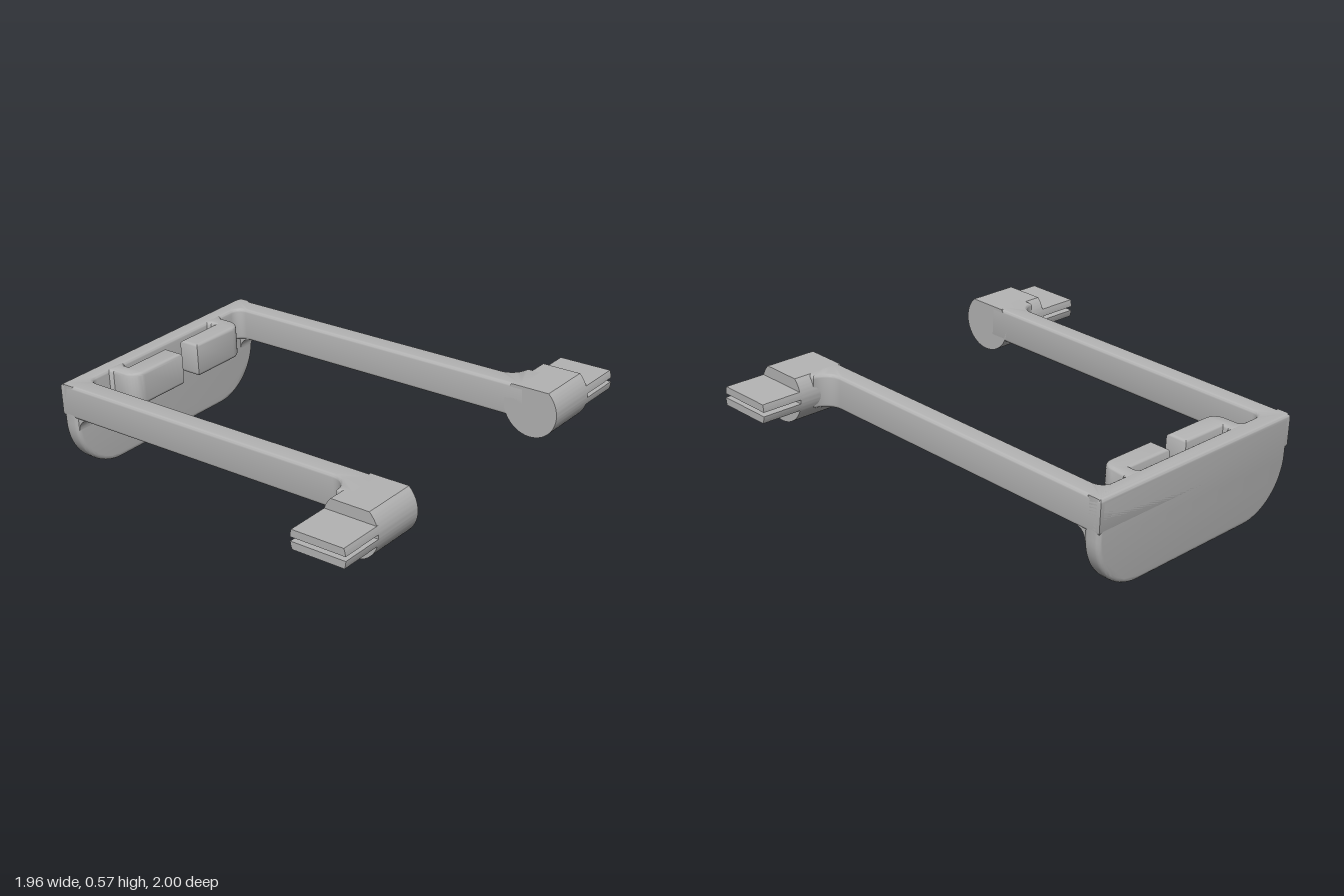
import * as THREE from 'three';
import { toCreasedNormals } from 'three/addons/utils/BufferGeometryUtils.js';

const TILT = 0.0535;   // slope of the arms
const H = 0.165;       // arm height
const HALF = 0.625;    // half width across the arms
const INNER = 0.525;   // inner face of each arm

// Points along an arc, angles in degrees
function arc(cx, cy, r, from, to, n = 8) {
  return Array.from({ length: n + 1 }, (_, i) => {
    const a = THREE.MathUtils.degToRad(from + (to - from) * i / n);
    return [cx + r * Math.cos(a), cy + r * Math.sin(a)];
  });
}

const shapeOf = (pts) => new THREE.Shape(pts.map(([x, y]) => new THREE.Vector2(x, y)));

// Extrusion from z = 0 to z = depth with rounded rims inside the outline
function extrude(shape, depth, bevel = 0) {
  const geo = new THREE.ExtrudeGeometry(shape, {
    depth: depth - 2 * bevel, curveSegments: 24, bevelEnabled: bevel > 0,
    bevelThickness: bevel, bevelSize: bevel, bevelOffset: -bevel, bevelSegments: 4,
  });
  return geo.translate(0, 0, bevel);
}

// Plan outline (x, z) extruded downwards from y = 0
const slab = (pts, height, bevel) =>
  extrude(shapeOf(pts.map(([x, z]) => [x, -z])), height, bevel)
    .rotateX(-Math.PI / 2).translate(0, -height, 0);

// Disc section between two heights
function discSlice(r, low, high) {
  const a = Math.asin(low / r), b = Math.asin(high / r);
  const s = new THREE.Shape();
  s.absarc(0, 0, r, a, b, false);
  s.absarc(0, 0, r, Math.PI - b, Math.PI - a, false);
  return s;
}

export function createModel() {
  const grey = new THREE.MeshStandardMaterial({ color: 0xb4b4b4 });
  grey.name = 'light grey';
  const model = new THREE.Group();
  model.name = 'bracket';
  const body = new THREE.Group();
  body.name = 'tiltedBody';
  body.position.set(-0.985, 0.47, 0);
  body.rotation.z = TILT;
  model.add(body);

  const add = (name, geo, x = 0, y = 0, z = 0) => {
    const mesh = new THREE.Mesh(toCreasedNormals(geo, 0.6), grey);
    mesh.name = name;
    mesh.position.set(x, y, z);
    body.add(mesh);
  };

  // U-shaped frame: both arms and the crossbar, flaring into the hubs
  const half = [
    [0, HALF],
    ...arc(1.605, 0.71, 0.085, -90, 0),
    [1.78, 0.71], [1.78, INNER],
    ...arc(0.135, INNER - 0.05, 0.05, 90, 180),
  ];
  const mirrored = half.map(([x, z]) => [x, -z]).reverse();
  add('armFrame', slab([...half, ...mirrored], H, 0.016));

  // Hanging end plate with round lower corners
  const plate = [
    [HALF, 0],
    ...arc(HALF - 0.27, -0.198, 0.27, 0, -90, 16),
    ...arc(-HALF + 0.27, -0.198, 0.27, -90, -180, 16),
    [-HALF, 0],
  ];
  add('endPlate', extrude(shapeOf(plate), 0.085, 0.022).rotateY(Math.PI / 2));

  const hubX = 1.822, hubY = -0.1006, r = 0.14;
  const fillet = [[0.07, -0.15], [0.145, -0.15], ...arc(0.145, -0.225, 0.06, 90, 180), [0.07, -0.225]];

  for (const s of [1, -1]) {
    const side = s > 0 ? 'left' : 'right';
    // Place an extrusion spanning z0..z1 on this side
    const across = (name, shape, z0, z1, x = 0, y = 0, bevel = 0) =>
      add(side + name, extrude(shape, z1 - z0, bevel), x, y, s > 0 ? z0 : -z1);

    // Round hub with a flat top
    across('Hub', discSlice(r, -r, -hubY), INNER, 0.79, hubX, hubY);
    // Split peg: two flat tongues with a slot between them
    across('UpperTongue', discSlice(r, 0.01, 0.046), 0.78, 1, hubX, hubY);
    across('LowerTongue', discSlice(r, -0.046, -0.01), 0.78, 1, hubX, hubY);
    // Concave fillet under the arm
    across('ArmFillet', shapeOf(fillet), INNER + 0.003, HALF - 0.012);

    // L-shaped clip standing off the end plate
    const clip = [
      [0.06, 0.395], [0.085, 0.395], [0.1, 0.38],
      ...arc(0.166, 0.31, 0.07, 90, 0),
      [0.236, 0.053], [0.126, 0.053], [0.126, 0.305],
      [0.1, 0.305], [0.085, 0.29], [0.06, 0.29],
    ];
    add(side + 'Clip', slab(clip.map(([x, z]) => [x, s * z]), H, 0.018));
  }
  return model;
}
